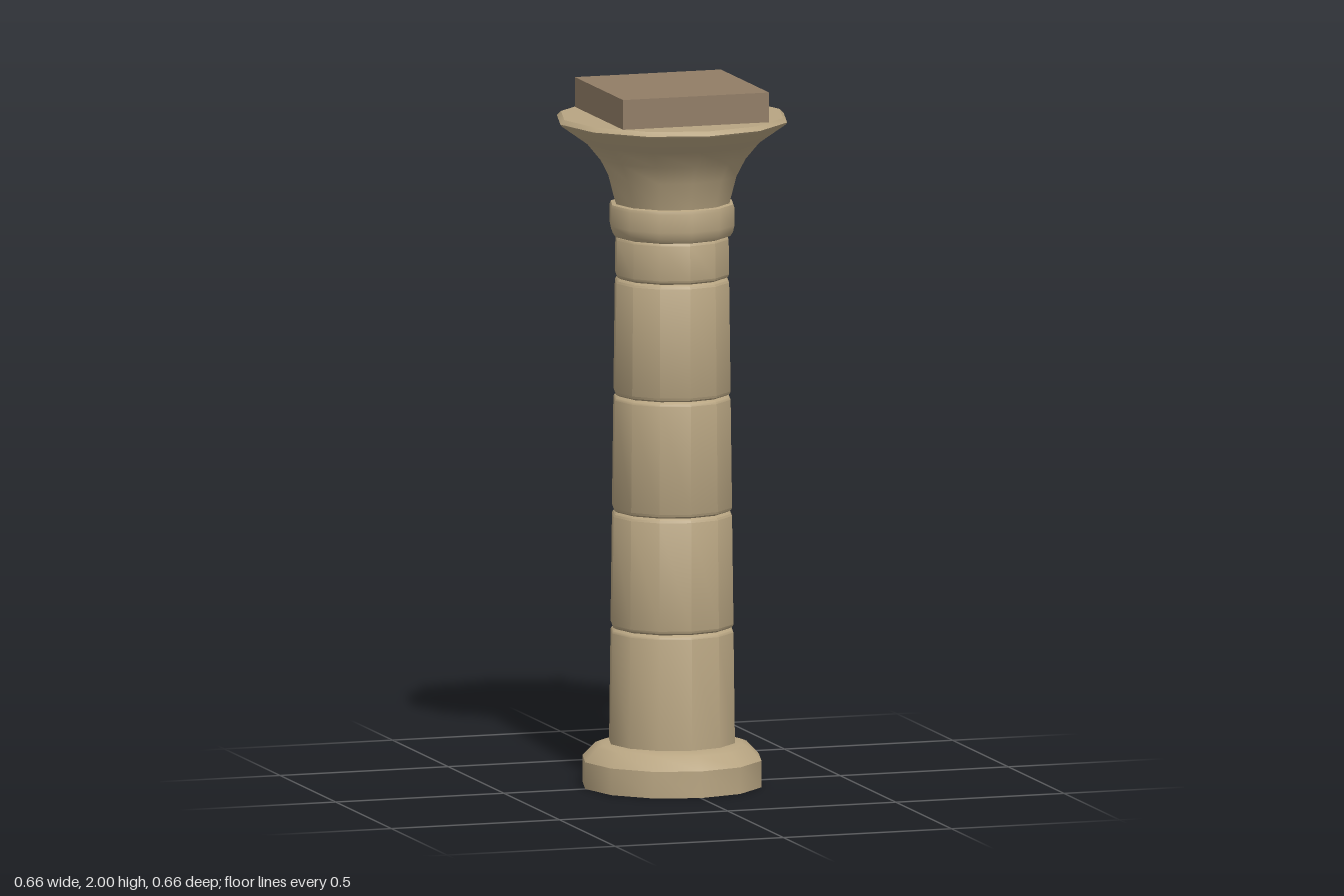
import * as THREE from 'three';
import { toCreasedNormals } from 'three/addons/utils/BufferGeometryUtils.js';

const SIDES = 12;
const stone = new THREE.MeshStandardMaterial({ color: 0xb8a582, side: THREE.DoubleSide });
const darkStone = new THREE.MeshStandardMaterial({ color: 0x917d66 });

// Twelve-sided turned part from [radius, height] pairs, listed bottom to top
function turned(name, profile) {
  const points = profile.map(([r, y]) => new THREE.Vector2(r, y));
  const geometry = toCreasedNormals(new THREE.LatheGeometry(points, SIDES), 0.62);
  const mesh = new THREE.Mesh(geometry, stone);
  mesh.name = name;
  return mesh;
}

export function createModel() {
  const column = new THREE.Group();
  column.name = 'column';

  // Hollow foot with a bevelled shoulder
  column.add(turned('base', [
    [0.258, 0], [0.258, 0.076], [0.222, 0.114], [0.205, 0.121], [0.18, 0.124],
  ]));

  // Tapering shaft of stacked drums separated by thin grooves
  const shaft = new THREE.Group();
  shaft.name = 'shaft';
  const joints = [0.122, 0.452, 0.785, 1.117, 1.452, 1.575];
  const radiusAt = (y) => 0.183 - 0.0125 * y;
  for (let i = 0; i < joints.length - 1; i++) {
    const y0 = joints[i], y1 = joints[i + 1];
    const r0 = radiusAt(y0), r1 = radiusAt(y1);
    const profile = i === 0
      ? [[r0, y0]]
      : [[r0 - 0.012, y0], [r0 - 0.003, y0 + 0.005], [r0, y0 + 0.012]];
    profile.push([r1, y1 - 0.012], [r1 - 0.003, y1 - 0.006], [r1 - 0.012, y1]);
    shaft.add(turned('drum' + (i + 1), profile));
  }
  column.add(shaft);

  // Rounded collar below the capital
  column.add(turned('collar', [
    [0.155, 1.569], [0.168, 1.573], [0.176, 1.585], [0.18, 1.604],
    [0.18, 1.655], [0.177, 1.664], [0.16, 1.668],
  ]));

  // Flaring capital with a closed top
  column.add(turned('capital', [
    [0.165, 1.665], [0.186, 1.745], [0.212, 1.795], [0.252, 1.843],
    [0.328, 1.897], [0.332, 1.903], [0.32, 1.915], [0, 1.915],
  ]));

  // Square block on top
  const abacus = new THREE.Mesh(new THREE.BoxGeometry(0.434, 0.085, 0.434), darkStone);
  abacus.name = 'abacus';
  abacus.position.y = 1.9575;
  column.add(abacus);

  return column;
}
